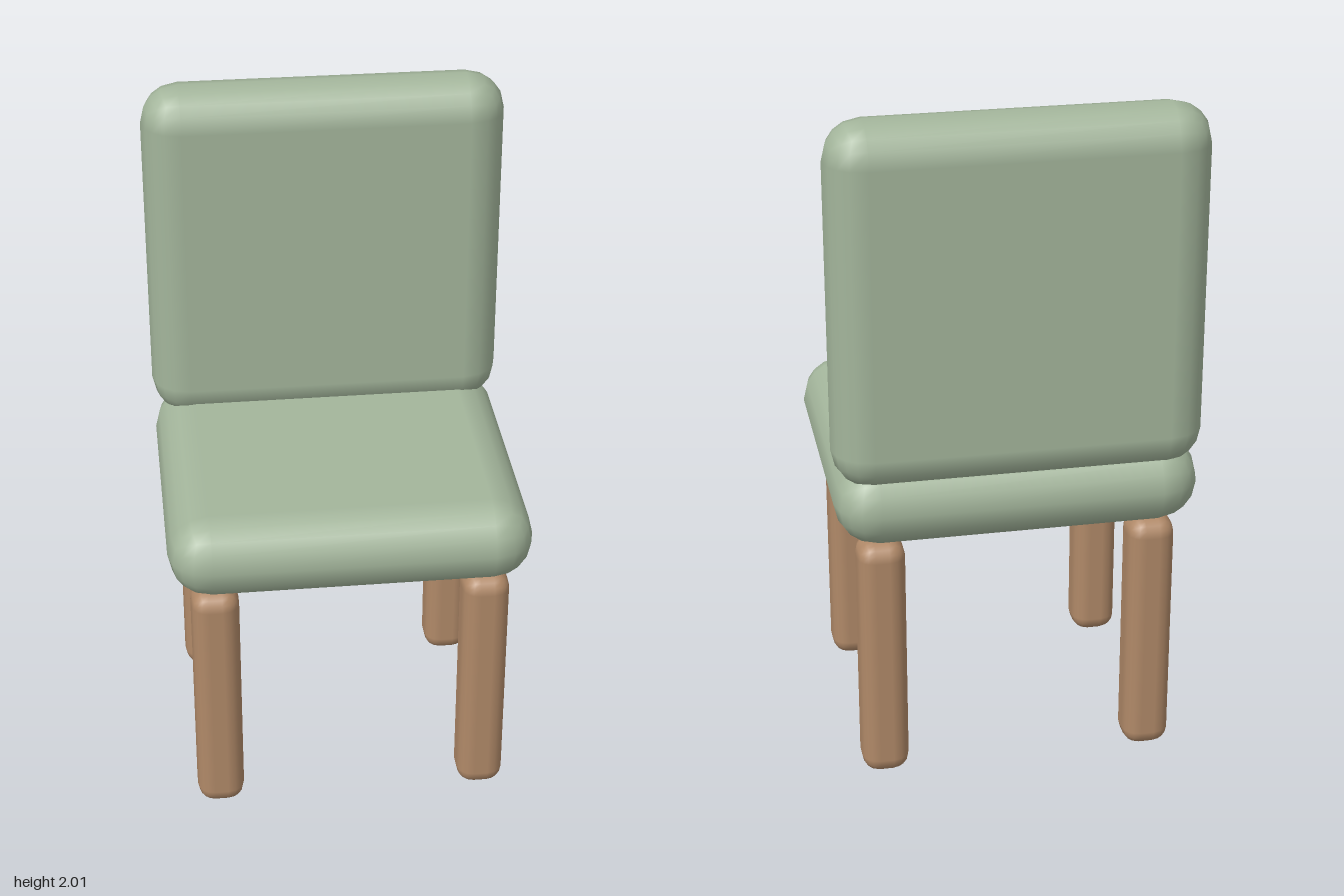
import * as THREE from 'three';
import { RoundedBoxGeometry } from 'three/addons/geometries/RoundedBoxGeometry.js';

const fabric = new THREE.MeshStandardMaterial({ color: 0xa3b59b });
const wood = new THREE.MeshStandardMaterial({ color: 0xb08968 });

// The coarse rounding pulls each face in by about 4% of the radius, so sizes are grown to match.
function softBox(name, [w, h, d], radius, [x, y, z], material) {
  const grow = 0.076 * radius;
  const geometry = new RoundedBoxGeometry(w + grow, h + grow, d + grow, 2, radius);
  const mesh = new THREE.Mesh(geometry, material);
  mesh.name = name;
  mesh.position.set(x, y, z);
  return mesh;
}

export function createModel() {
  const chair = new THREE.Group();
  chair.name = 'chair';

  // Cushions, rounded over their full thickness
  chair.add(softBox('seat', [1.04, 0.235, 0.948], 0.122, [0, 0.8825, 0], fabric));
  chair.add(softBox('backrest', [1.05, 1.052, 0.216], 0.112, [0, 1.474, -0.366], fabric));

  // Four legs, just clear of the seat
  for (const [end, z] of [['front', 0.345], ['back', -0.345]]) {
    for (const [side, x] of [['Left', 0.394], ['Right', -0.394]]) {
      chair.add(softBox(`${end}${side}Leg`, [0.135, 0.754, 0.135], 0.05, [x, 0.377, z], wood));
    }
  }
  return chair;
}
